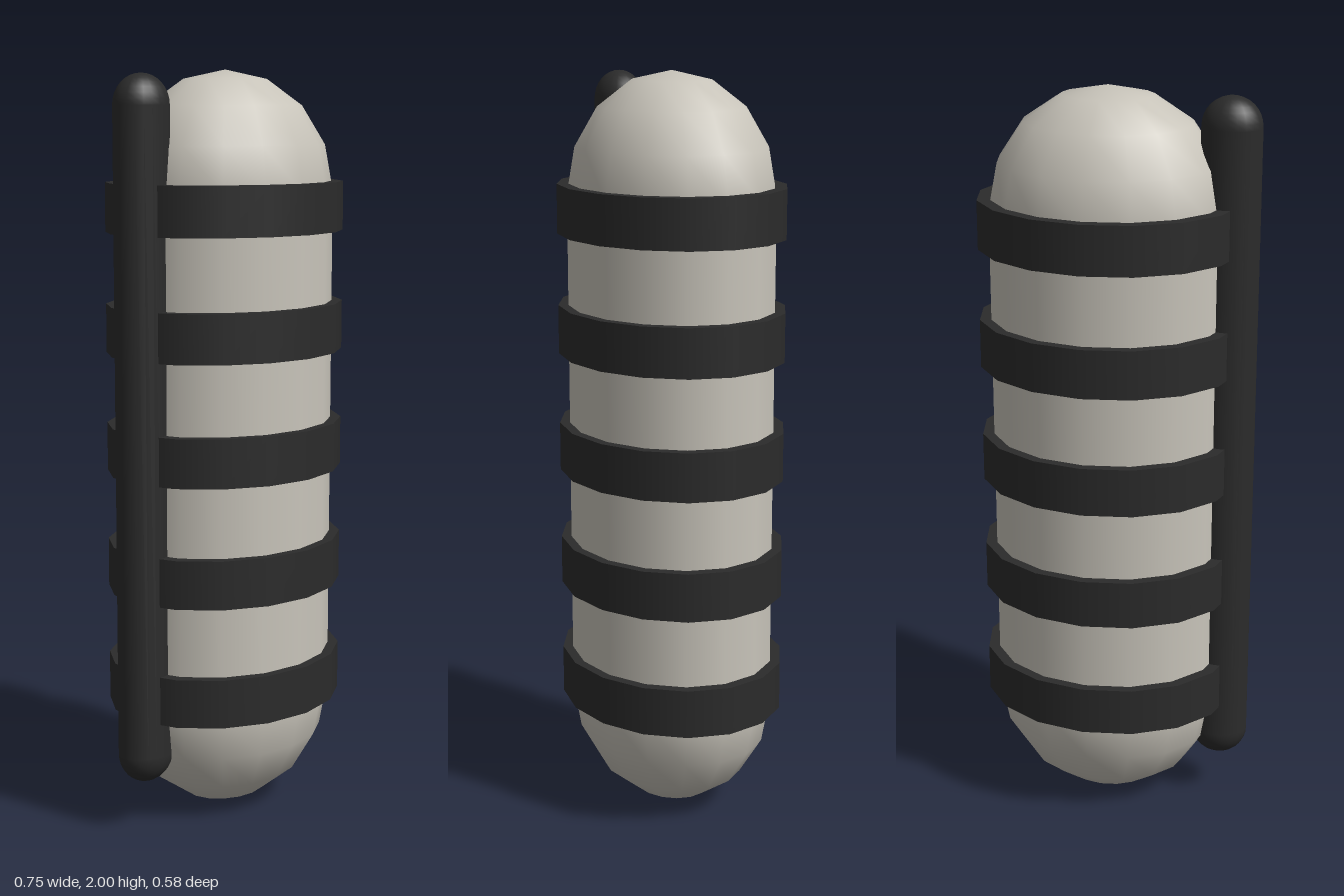
import * as THREE from 'three';

const DEPTH = 0.84; // everything is narrower front to back than side to side

export function createModel() {
  const model = new THREE.Group();
  const shell = new THREE.MeshStandardMaterial({ name: 'warm grey', color: 0xc8c4ba });
  const dark = new THREE.MeshStandardMaterial({ name: 'charcoal', color: 0x2b2b2b });

  function add(name, geometry, material, x, y) {
    const mesh = new THREE.Mesh(geometry, material);
    mesh.name = name;
    mesh.position.set(x, y, 0);
    mesh.scale.z = DEPTH;
    model.add(mesh);
  }

  // Main capsule with coarse round ends
  add('body', new THREE.CapsuleGeometry(0.316, 1.368, 4, 16), shell, 0.025, 1);

  // Five evenly spaced bands wrapped around the body
  const bandGeometry = new THREE.CylinderGeometry(0.347, 0.347, 0.13, 16);
  for (let i = 0; i < 5; i++) {
    add(`band${i + 1}`, bandGeometry, dark, 0.025, 0.364 + i * 0.32);
  }

  // Slim round-ended rod along the model's right side
  add('sideRod', new THREE.CapsuleGeometry(0.079, 1.7, 8, 20), dark, -0.295, 1.058);

  return model;
}
